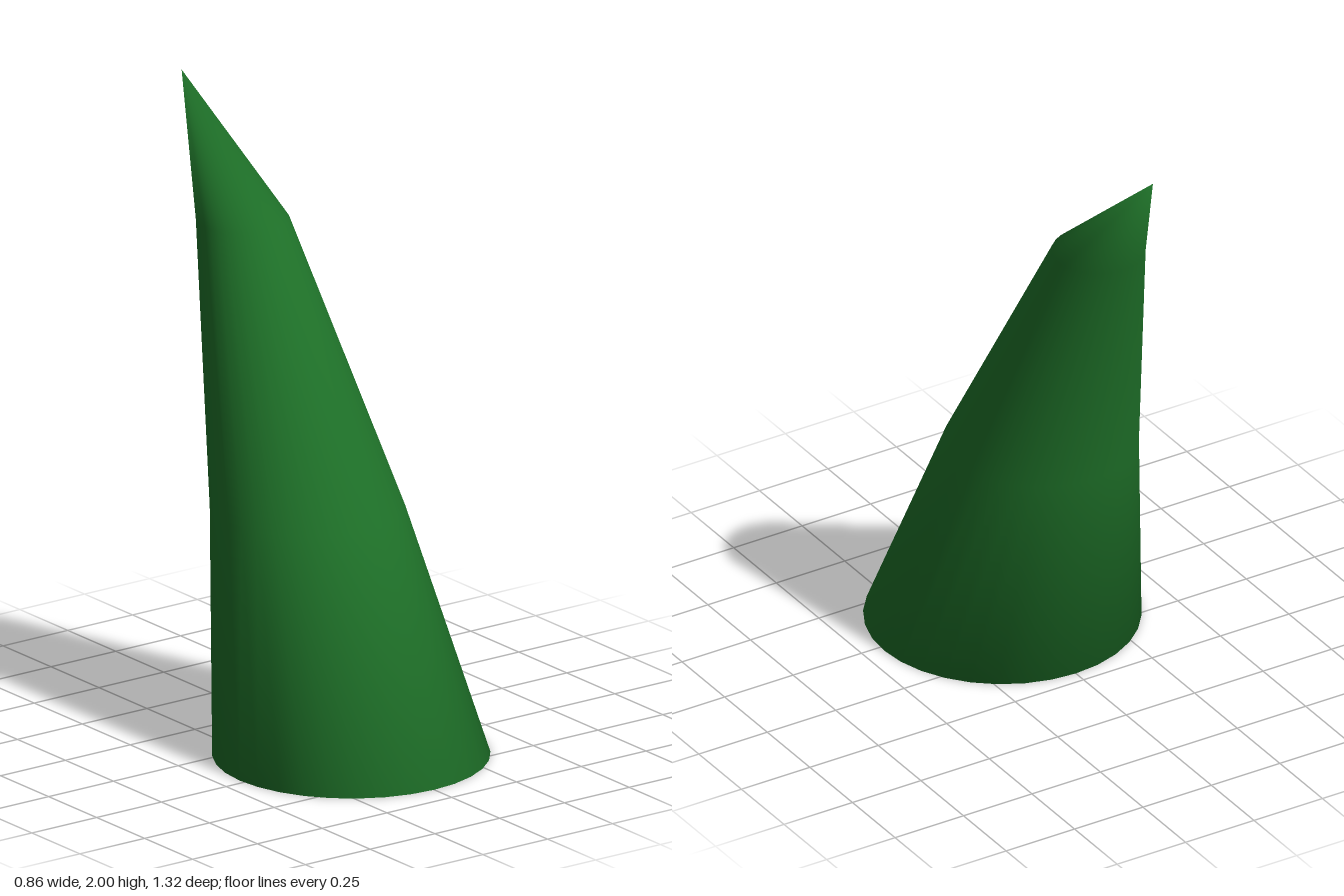
import * as THREE from 'three';

const SEGMENTS = 32;

// Lofts circular rings [y, z, radius] into one smooth skin, closed by a single point at each end.
function loftRings(base, rings, tip) {
  const positions = [0, base[0], base[1]];
  const indices = [];
  for (const [y, z, r] of rings) {
    for (let j = 0; j < SEGMENTS; j++) {
      const a = (j / SEGMENTS) * Math.PI * 2;
      positions.push(r * Math.sin(a), y, z + r * Math.cos(a));
    }
  }
  positions.push(0, tip[0], tip[1]);

  const at = (ring, j) => 1 + ring * SEGMENTS + (j % SEGMENTS);
  const last = rings.length - 1;
  const tipIndex = 1 + rings.length * SEGMENTS;
  for (let j = 0; j < SEGMENTS; j++) {
    indices.push(0, at(0, j + 1), at(0, j)); // underside
    for (let i = 0; i < last; i++) {
      indices.push(at(i, j), at(i, j + 1), at(i + 1, j + 1));
      indices.push(at(i, j), at(i + 1, j + 1), at(i + 1, j));
    }
    indices.push(at(last, j), at(last, j + 1), tipIndex); // point
  }

  const geometry = new THREE.BufferGeometry();
  geometry.setAttribute('position', new THREE.Float32BufferAttribute(positions, 3));
  geometry.setIndex(indices);
  geometry.computeVertexNormals();
  return geometry;
}

export function createModel() {
  const group = new THREE.Group();
  group.name = 'spike';

  // Backward-leaning horn: wide base, two narrowing rings, sharp tip
  const horn = new THREE.Mesh(
    loftRings(
      [0, 0.227],
      [
        [0, 0.227, 0.432],
        [0.75, -0.002, 0.303],
        [1.6, -0.338, 0.146],
      ],
      [2, -0.657]
    ),
    new THREE.MeshStandardMaterial({ color: 0x1e7028 })
  );
  horn.name = 'horn';
  group.add(horn);
  return group;
}
